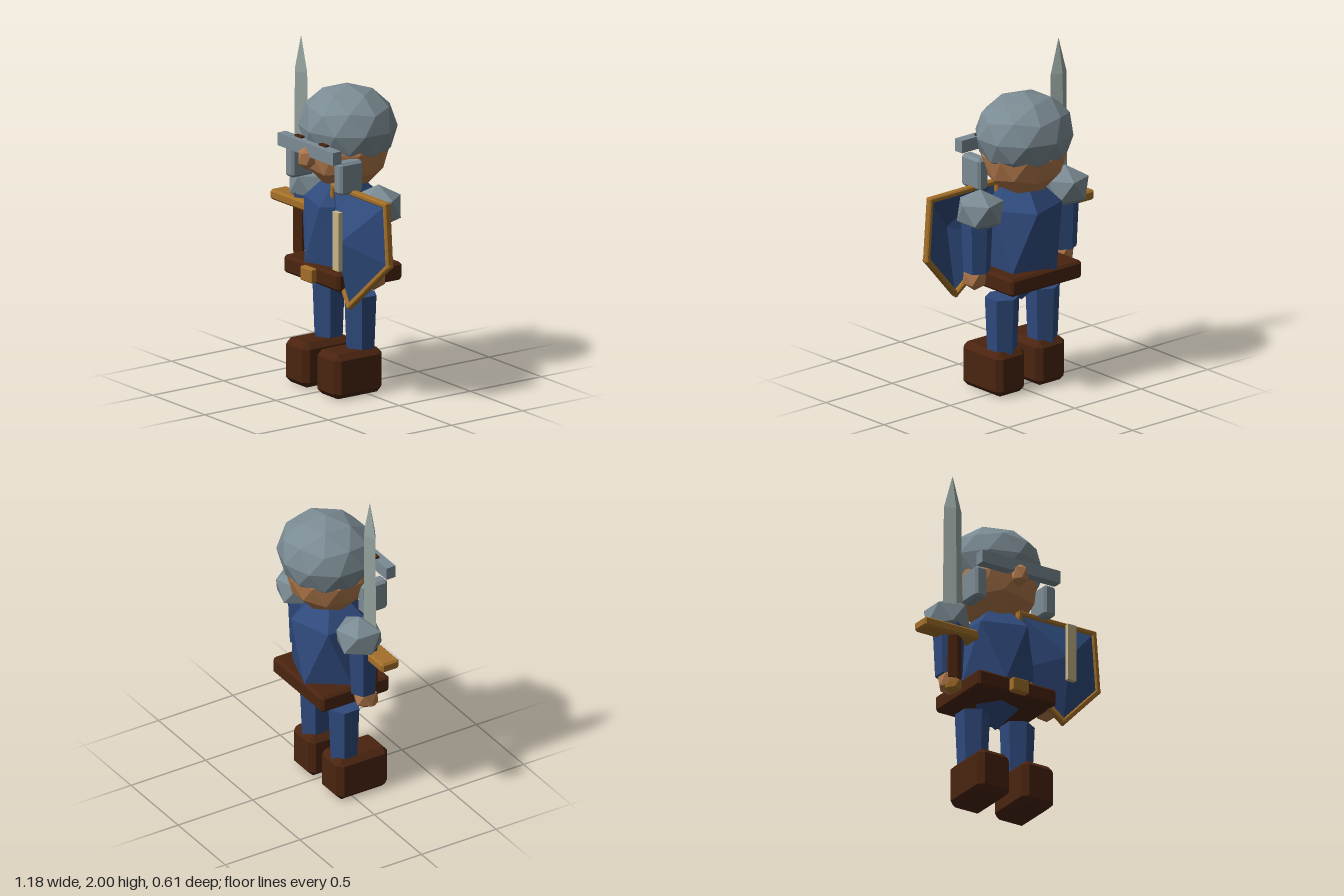
import * as THREE from 'three';
import { ConvexGeometry } from 'three/addons/geometries/ConvexGeometry.js';

const CX = -0.035; // centre line of the body

function material(name, color, side = THREE.FrontSide) {
  const m = new THREE.MeshStandardMaterial({ color, flatShading: true, side });
  m.name = name;
  return m;
}

// Box with a single chamfer on every edge
function chamferBox(w, h, d, c) {
  const pts = [];
  for (const x of [-1, 1]) for (const y of [-1, 1]) for (const z of [-1, 1]) {
    pts.push(new THREE.Vector3(x * w / 2, y * (h / 2 - c), z * (d / 2 - c)));
    pts.push(new THREE.Vector3(x * (w / 2 - c), y * h / 2, z * (d / 2 - c)));
    pts.push(new THREE.Vector3(x * (w / 2 - c), y * (h / 2 - c), z * d / 2));
  }
  return new ConvexGeometry(pts);
}

// Icosphere standing on a vertex, stretched to three radii
function ico(rx, ry, rz, detail = 0) {
  return new THREE.IcosahedronGeometry(1, detail)
    .rotateZ(-Math.atan(2 / (1 + Math.sqrt(5)))).scale(rx, ry, rz);
}

export function createModel() {
  const model = new THREE.Group();
  model.name = 'knight';
  const steel = material('steel', 0x7b8b93);
  const bladeSteel = material('bladeSteel', 0x98a6a2);
  const blue = material('blueCloth', 0x2f4a7c);
  blue.side = THREE.DoubleSide;
  const leather = material('darkLeather', 0x4a240f);
  const gold = material('gold', 0xa37029);
  const skin = material('skin', 0xb0784b);
  const cream = material('cream', 0xc6b688);

  function add(name, geometry, mat, x, y, z, parent = model) {
    const mesh = new THREE.Mesh(geometry, mat);
    mesh.name = name;
    mesh.position.set(x, y, z);
    parent.add(mesh);
    return mesh;
  }

  // Torso, belt and buckle
  add('torso', ico(0.26, 0.404, 0.26), blue, CX, 0.92, 0);
  add('belt', chamferBox(0.53, 0.105, 0.455, 0.015), leather, CX, 0.697, 0.003);
  add('buckle', chamferBox(0.11, 0.082, 0.06, 0.006), gold, CX, 0.696, 0.236);

  // Head and helmet
  add('head', ico(0.255, 0.25, 0.25, 1), skin, CX, 1.415, -0.015);
  add('helmet', ico(0.297, 0.24, 0.275, 1), steel, CX + 0.003, 1.532, -0.03);
  add('browBand', new THREE.BoxGeometry(0.53, 0.075, 0.06), steel, CX, 1.437, 0.238);
  add('nose', ico(0.053, 0.075, 0.056), skin, CX - 0.003, 1.385, 0.255);

  // Mirrored body parts
  for (const s of [-1, 1]) {
    const side = s > 0 ? 'left' : 'right';
    add(side + 'Eye', new THREE.BoxGeometry(0.064, 0.05, 0.026), leather, CX + s * 0.116, 1.46, 0.222);
    add(side + 'CheekGuard', chamferBox(0.078, 0.19, 0.16, 0.015), steel, CX + s * 0.232, 1.305, 0.135);
    add(side + 'Shoulder', ico(0.15, 0.128, 0.147), steel, CX + s * 0.32, 1.128, -0.012);
    add(side + 'Arm', new THREE.CylinderGeometry(0.093, 0.078, 0.34, 6), blue, CX + s * 0.325, 0.93, 0.012);
    add(side + 'Hand', ico(0.075, 0.08, 0.078), skin, CX + s * 0.328, 0.72, 0.028);
    add(side + 'Leg', new THREE.CylinderGeometry(0.1, 0.086, 0.34, 6), blue, CX + s * 0.152, 0.405, -0.008);
    add(side + 'Boot', chamferBox(0.216, 0.262, 0.34, 0.033), leather, CX + s * 0.15, 0.134, 0.066);
  }

  // Sword: diamond section blade, guard, grip and pommel
  const sword = new THREE.Group();
  sword.name = 'sword';
  sword.position.set(-0.363, 0, 0.056);
  model.add(sword);
  const bladePoints = [new THREE.Vector3(0, 2, 0)];
  for (const [y, w, d] of [[1.03, 0.068, 0.042], [1.79, 0.059, 0.036]]) {
    for (const s of [-1, 1]) {
      bladePoints.push(new THREE.Vector3(s * w, y, 0), new THREE.Vector3(0, y, s * d));
    }
  }
  add('blade', new ConvexGeometry(bladePoints), bladeSteel, 0, 0, 0, sword);
  add('crossGuard', chamferBox(0.445, 0.06, 0.118, 0.012), gold, 0, 1.02, 0, sword);
  add('grip', new THREE.CylinderGeometry(0.05, 0.05, 0.28, 6), leather, 0, 0.865, 0, sword);
  add('pommel', ico(0.055, 0.055, 0.055), gold, 0, 0.69, 0, sword);

  // Shield: folded panel raised to a central point
  const shield = new THREE.Group();
  shield.name = 'shield';
  model.add(shield);
  const rim = [
    [0.045, 1.215, 0.122], [0.018, 0.86, 0.122], [0.295, 0.575, 0.195],
    [0.572, 0.86, 0.122], [0.545, 1.215, 0.122],
  ].map((p) => new THREE.Vector3(...p));
  const apex = new THREE.Vector3(0.295, 0.96, 0.265);
  const fan = [];
  rim.forEach((p, i) => fan.push(apex, p, rim[(i + 1) % rim.length]));
  const panel = new THREE.BufferGeometry().setFromPoints(fan);
  panel.computeVertexNormals();
  add('shieldPanel', panel, blue, 0, 0, 0, shield);

  // Rim bars running from corner to corner
  rim.forEach((p, i) => {
    const q = rim[(i + 1) % rim.length];
    const bar = add('shieldRim', chamferBox(0.03, 0.042, p.distanceTo(q) + 0.03, 0.007), gold, 0, 0, 0, shield);
    bar.position.copy(p).add(q).multiplyScalar(0.5);
    const along = q.clone().sub(p).normalize();
    const across = new THREE.Vector3().crossVectors(new THREE.Vector3(0, 0, 1), along).normalize();
    const out = new THREE.Vector3().crossVectors(along, across);
    bar.quaternion.setFromRotationMatrix(new THREE.Matrix4().makeBasis(across, out, along));
  });
  add('shieldStripe', new THREE.BoxGeometry(0.057, 0.345, 0.028), cream, 0.291, 0.972, 0.281, shield);

  return model;
}
